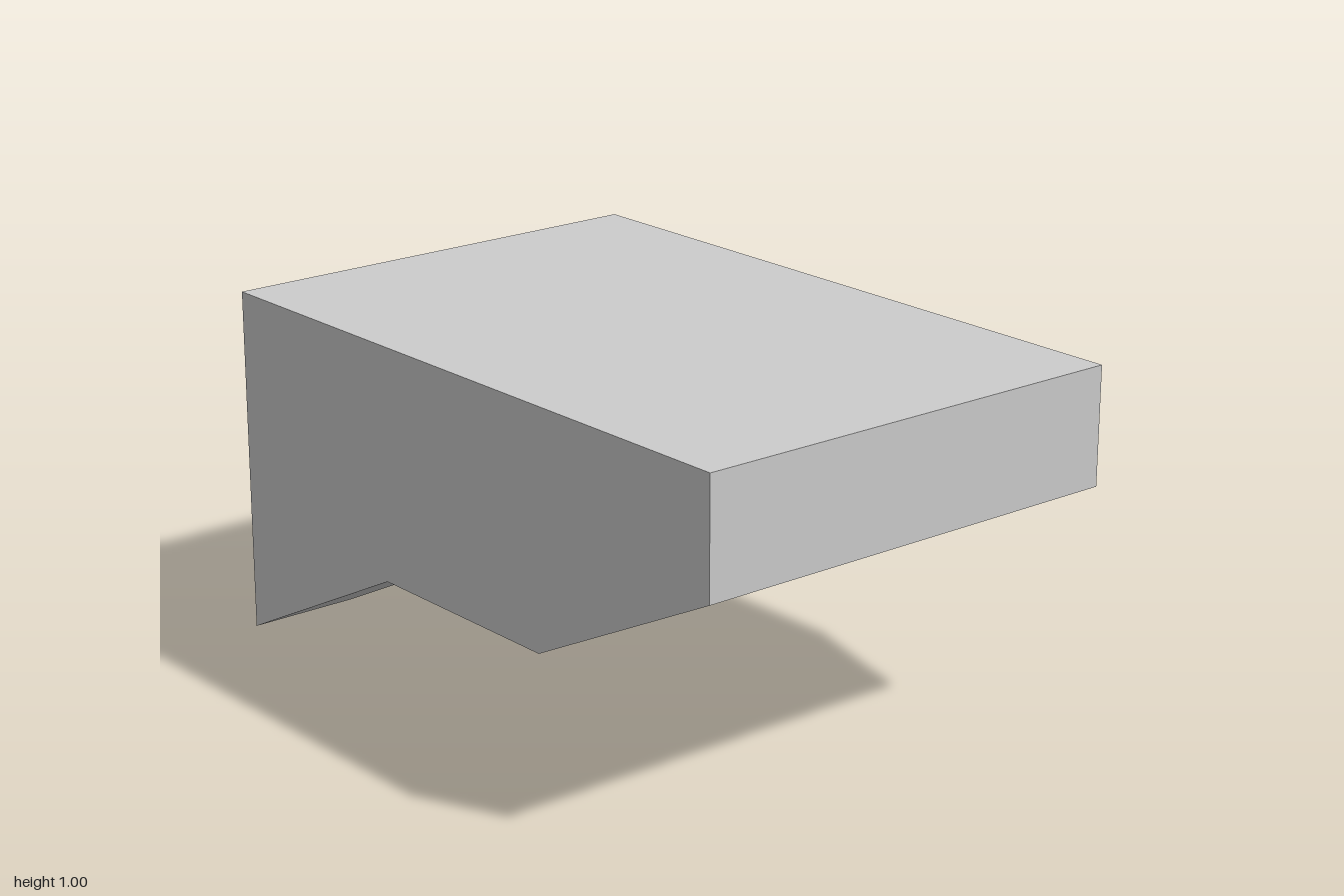
import * as THREE from 'three';

const W = 2 / 3; // half width of the shell
const T = 1 / 3; // half width of the gap between the legs, and floor height

export function createModel() {
  const model = new THREE.Group();
  const grey = new THREE.MeshStandardMaterial({ color: 0xcccccc, side: THREE.DoubleSide });
  grey.name = 'grey';

  function add(name, geometry, x = 0) {
    const mesh = new THREE.Mesh(geometry, grey);
    mesh.name = name;
    mesh.position.x = x;
    model.add(mesh);
  }

  // Flat panel between two [z, y] profile points, spanning x0 to x1
  function panel(name, x0, x1, [z0, y0], [z1, y1]) {
    const geometry = new THREE.BufferGeometry();
    geometry.setAttribute('position', new THREE.Float32BufferAttribute(
      [x0, y0, z0, x1, y0, z0, x1, y1, z1, x0, y1, z1], 3));
    geometry.setIndex([0, 1, 2, 0, 2, 3]);
    geometry.computeVertexNormals();
    add(name, geometry);
  }

  // Upright panel outlined by [z, y] points at a given x, facing outward or inward
  function wall(name, x, points, facing) {
    const shape = new THREE.Shape(points.map(([z, y]) => new THREE.Vector2(z * -facing, y)));
    add(name, new THREE.ShapeGeometry(shape).rotateY(facing * Math.PI / 2), x);
  }

  // Shell open at the back
  panel('floor', -W, W, [-T, T], [T, T]);
  panel('frontUnderside', -W, W, [T, T], [1, W]);
  panel('frontPanel', -W, W, [1, W], [1, 1]);
  panel('topPanel', -W, W, [1, 1], [-1, 1]);

  // Floor tongue running back between the legs
  panel('floorTongue', -T, T, [-1, T], [-T, T]);

  // Side walls and the two sloping channel legs
  const side = [[1, 1], [1, W], [T, T], [-T, T], [-1, 0], [-1, 1]];
  const cheek = [[-T, T], [-1, T], [-1, 0]];
  for (const [label, s] of [['left', 1], ['right', -1]]) {
    wall(label + 'SideWall', s * W, side, s);
    wall(label + 'LegInnerWall', s * T, cheek, -s);
    panel(label + 'LegUnderside', Math.min(s * T, s * W), Math.max(s * T, s * W), [-1, 0], [-T, T]);
  }

  return model;
}
